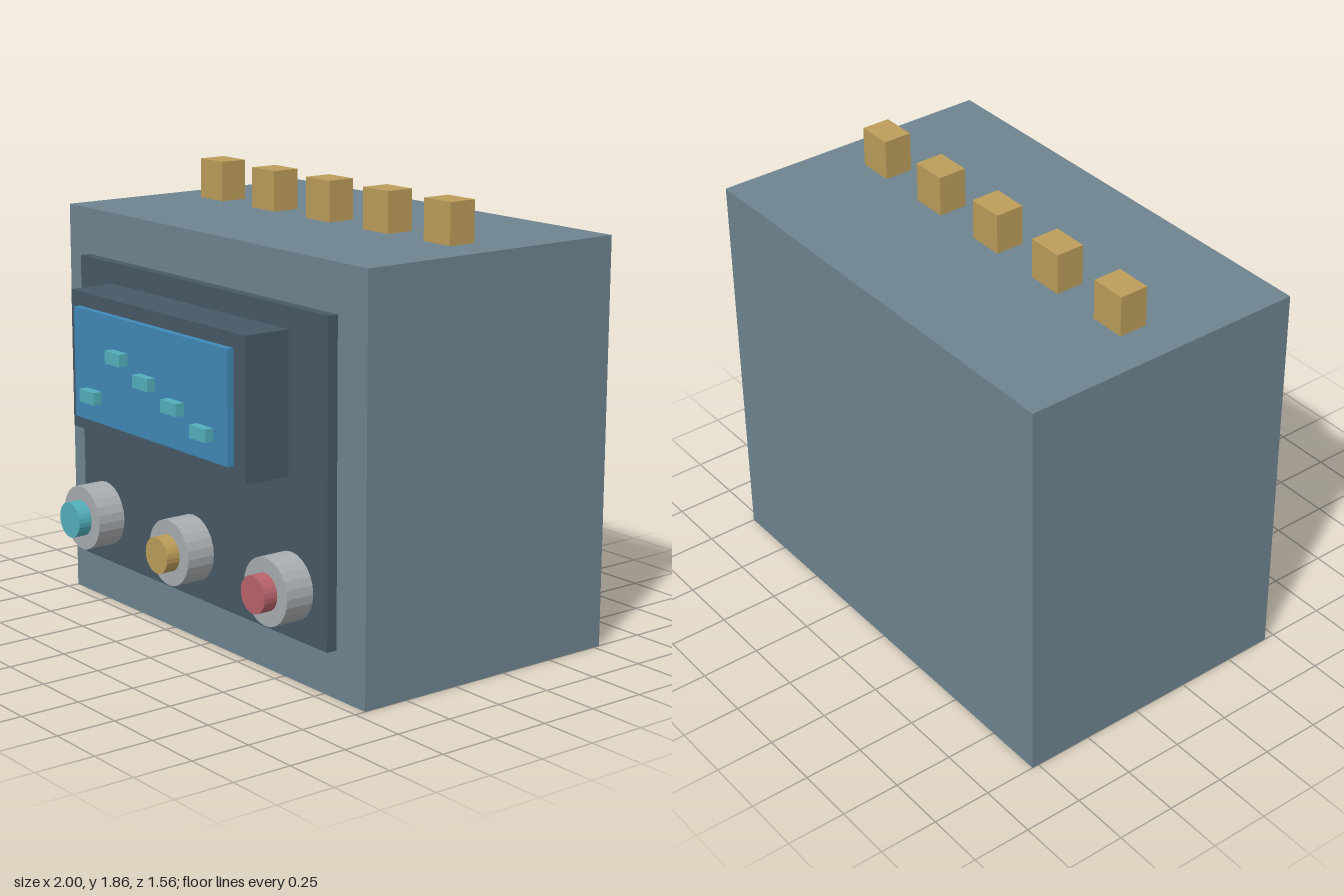
import * as THREE from 'three';

const mat = (name, color, flatShading = false) => {
  const m = new THREE.MeshStandardMaterial({ color, flatShading });
  m.name = name;
  return m;
};

export function createModel() {
  const model = new THREE.Group();
  model.name = 'controlUnit';

  const steel = mat('blueGreySteel', 0x6e8490);
  const slate = mat('darkSlate', 0x465965);
  const blue = mat('screenBlue', 0x4089b6);
  const silver = mat('silver', 0xa9adb0, true);
  const teal = mat('teal', 0x52aebb, true);
  const gold = mat('gold', 0xbb9c5a, true);
  const red = mat('red', 0xb8636b, true);

  // Box given by its extents along each axis
  const box = (name, material, [x0, x1], [y0, y1], [z0, z1]) => {
    const mesh = new THREE.Mesh(new THREE.BoxGeometry(x1 - x0, y1 - y0, z1 - z0), material);
    mesh.position.set((x0 + x1) / 2, (y0 + y1) / 2, (z0 + z1) / 2);
    mesh.name = name;
    model.add(mesh);
  };

  // Cylinder lying along z
  const disc = (name, material, radius, x, y, z0, z1) => {
    const geometry = new THREE.CylinderGeometry(radius, radius, z1 - z0, 24).rotateX(Math.PI / 2);
    const mesh = new THREE.Mesh(geometry, material);
    mesh.position.set(x, y, (z0 + z1) / 2);
    mesh.name = name;
    model.add(mesh);
  };

  // Cabinet, front panel and display
  box('cabinet', steel, [-1, 1], [0, 1.693], [-0.78, 0.452]);
  box('frontPanel', slate, [-0.838, 0.836], [0.2, 1.5], [0.46, 0.505]);
  box('displayHousing', slate, [-0.598, 0.597], [0.84, 1.412], [0.505, 0.706]);
  box('screen', blue, [-0.528, 0.527], [0.9, 1.355], [0.71, 0.74]);

  // Raised marks on the screen
  [1.008, 1.198, 1.134, 1.071, 1.008].forEach((y, i) => {
    const x = (i - 2) * 0.1925;
    box('screenMark', teal, [x - 0.052, x + 0.052], [y - 0.026, y + 0.026], [0.741, 0.78]);
  });

  // Knobs with coloured caps
  [teal, gold, red].forEach((cap, i) => {
    const x = -0.677 + i * 0.645;
    disc('knobBase', silver, 0.137, x, 0.41, 0.505, 0.63);
    disc('knobCap', cap, 0.076, x, 0.41, 0.63, 0.69);
  });

  // Row of terminals on top
  for (let i = -2; i <= 2; i++) {
    const x = i * 0.369;
    box('topTerminal', gold, [x - 0.077, x + 0.077], [1.693, 1.862], [-0.225, -0.102]);
  }

  return model;
}
